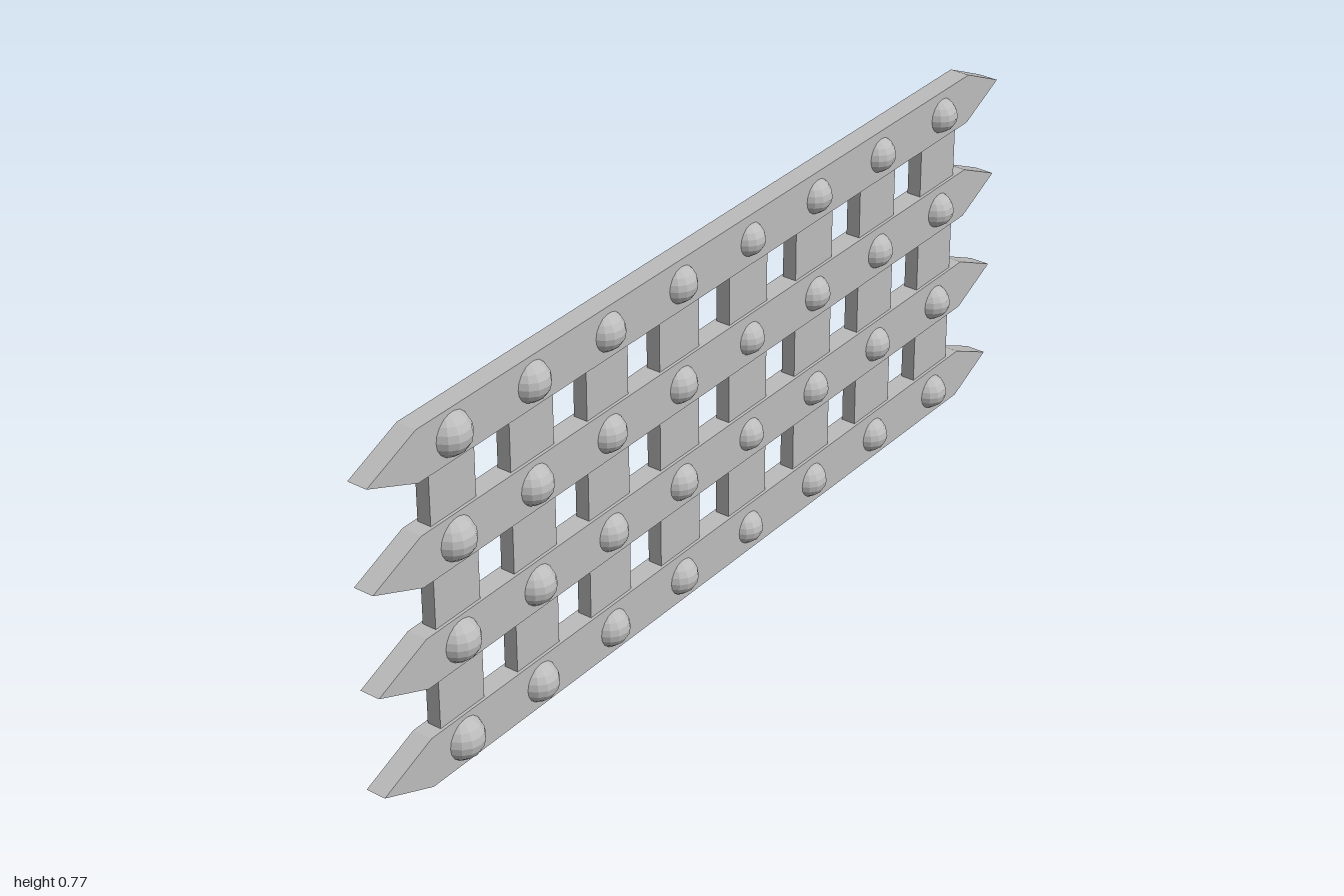
import * as THREE from 'three';

export function createModel() {
  const group = new THREE.Group();
  const iron = new THREE.MeshStandardMaterial({ color: 0xbcbcbc });
  iron.name = 'iron grey';
  iron.flatShading = true;

  const add = (geometry, name, x, y, z) => {
    const mesh = new THREE.Mesh(geometry, iron);
    mesh.name = name;
    mesh.position.set(x, y, z);
    group.add(mesh);
    return mesh;
  };

  const rows = [0.055, 0.277, 0.499, 0.72];
  const columns = Array.from({ length: 8 }, (_, i) => 0.771 - i * 0.223);

  // Long bar with a spear point at each end, drawn along z
  const outline = new THREE.Shape([
    [-1, 0], [-0.887, -0.055], [0.867, -0.055], [1, 0], [0.867, 0.055], [-0.887, 0.055],
  ].map(([z, y]) => new THREE.Vector2(z, y)));
  const barGeometry = new THREE.ExtrudeGeometry(outline, { depth: 0.044, bevelEnabled: false });
  barGeometry.translate(0, 0, -0.022);
  barGeometry.rotateY(-Math.PI / 2);
  rows.forEach((y) => add(barGeometry, 'pointedBar', 0, y, 0));

  // Thinner cross slats set between the faces of the bars
  const slatGeometry = new THREE.BoxGeometry(0.031, 0.74, 0.125);
  columns.forEach((z) => add(slatGeometry, 'crossSlat', 0, 0.388, z));

  // Domed rivets through every crossing, slightly uneven in size
  const rivetGeometry = new THREE.SphereGeometry(1, 16, 10);
  const rivetRadius = [0.049, 0.046, 0.044, 0.043, 0.039, 0.041, 0.041, 0.041];
  const rivetReach = [0.058, 0.056, 0.053, 0.052, 0.05, 0.051, 0.052, 0.055];
  rows.forEach((y) => columns.forEach((z, i) => {
    add(rivetGeometry, 'rivet', 0, y, z).scale.set(rivetReach[i], rivetRadius[i], rivetRadius[i]);
  }));

  return group;
}
